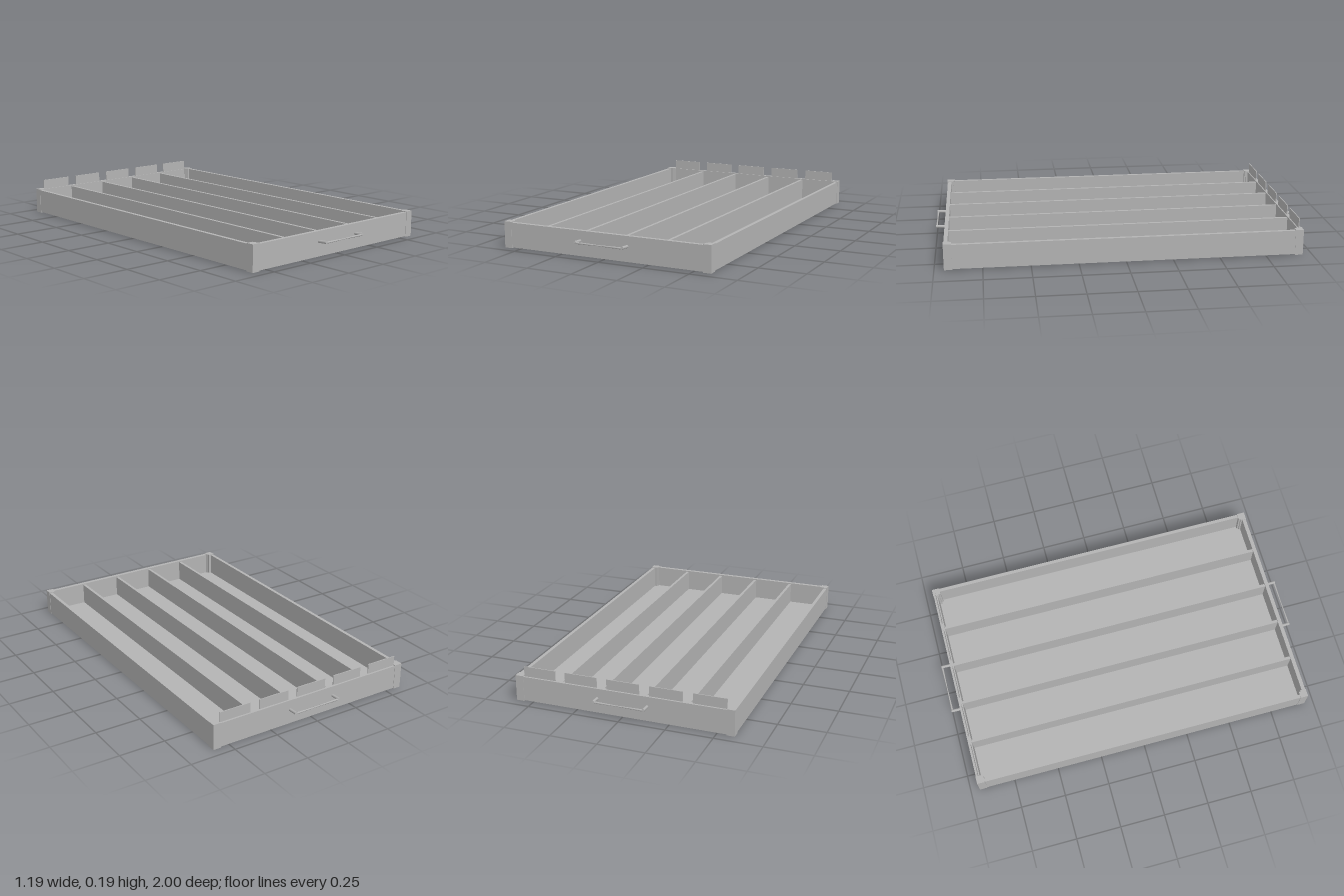
import * as THREE from 'three';

const grey = new THREE.MeshStandardMaterial({ color: 0xb3b3b3 });
grey.name = 'grey';

export function createModel() {
  const model = new THREE.Group();
  model.name = 'dividedTray';

  // Box given by its lower and upper limits on each axis
  const box = (name, [x0, x1], [y0, y1], [z0, z1], parent = model) => {
    const mesh = new THREE.Mesh(new THREE.BoxGeometry(x1 - x0, y1 - y0, z1 - z0), grey);
    mesh.position.set((x0 + x1) / 2, (y0 + y1) / 2, (z0 + z1) / 2);
    mesh.name = name;
    parent.add(mesh);
    return mesh;
  };

  // Floor
  box('floor', [-0.58, 0.58], [0.004, 0.012], [-0.935, 0.935]);

  // Walls, sitting just inside the corner posts
  for (const s of [-1, 1]) {
    const span = (a, b) => (s > 0 ? [a, b] : [-b, -a]);
    box('sideWall', span(0.572, 0.591), [0.004, 0.136], [-0.945, 0.945]);
    box('endWall', [-0.572, 0.572], [0.004, 0.136], span(0.926, 0.947));
  }

  // Corner posts: L-shaped wrap with a small inner block
  for (const sx of [-1, 1]) for (const sz of [-1, 1]) {
    const post = new THREE.Shape();
    [[0.593, 0.949], [0.55, 0.949], [0.55, 0.916], [0.557, 0.916], [0.557, 0.906], [0.593, 0.906]]
      .forEach(([x, z], i) => post[i ? 'lineTo' : 'moveTo'](x * sx, -z * sz));
    const geo = new THREE.ExtrudeGeometry(post, { depth: 0.14, bevelEnabled: false });
    geo.rotateX(-Math.PI / 2);
    const mesh = new THREE.Mesh(geo, grey);
    mesh.name = 'cornerPost';
    model.add(mesh);
  }

  // Lengthwise dividers
  for (const x of [-0.347, -0.116, 0.116, 0.347]) {
    box('divider', [x - 0.008, x + 0.008], [0.01, 0.13], [-0.928, 0.928]);
  }

  // Label tabs standing in the back wall
  for (let i = -2; i <= 2; i++) {
    const x = i * 0.23 - 0.001;
    box('labelTab', [x - 0.088, x + 0.088], [0.12, 0.19], [-0.937, -0.932]);
  }

  // Pull handles on both ends: two feet and a thin bar with a narrow waist
  for (const s of [-1, 1]) {
    const handle = new THREE.Group();
    handle.name = s > 0 ? 'frontHandle' : 'backHandle';
    for (const x of [-0.135, 0.135]) {
      const geo = new THREE.CylinderGeometry(0.008, 0.008, 0.06, 8);
      geo.rotateX(Math.PI / 2 - s * 0.06);
      const foot = new THREE.Mesh(geo, grey);
      foot.position.set(x, 0.084, s * 0.969);
      foot.name = 'handleFoot';
      handle.add(foot);
    }
    const profile = [[0, -0.138], [0.006, -0.138], [0.003, 0], [0.006, 0.138], [0, 0.138]];
    const barGeo = new THREE.LatheGeometry(profile.map(p => new THREE.Vector2(...p)), 8);
    barGeo.rotateZ(Math.PI / 2);
    const bar = new THREE.Mesh(barGeo, grey);
    bar.position.set(0, 0.083, s * 0.994);
    bar.name = 'handleBar';
    handle.add(bar);
    model.add(handle);
  }

  return model;
}
